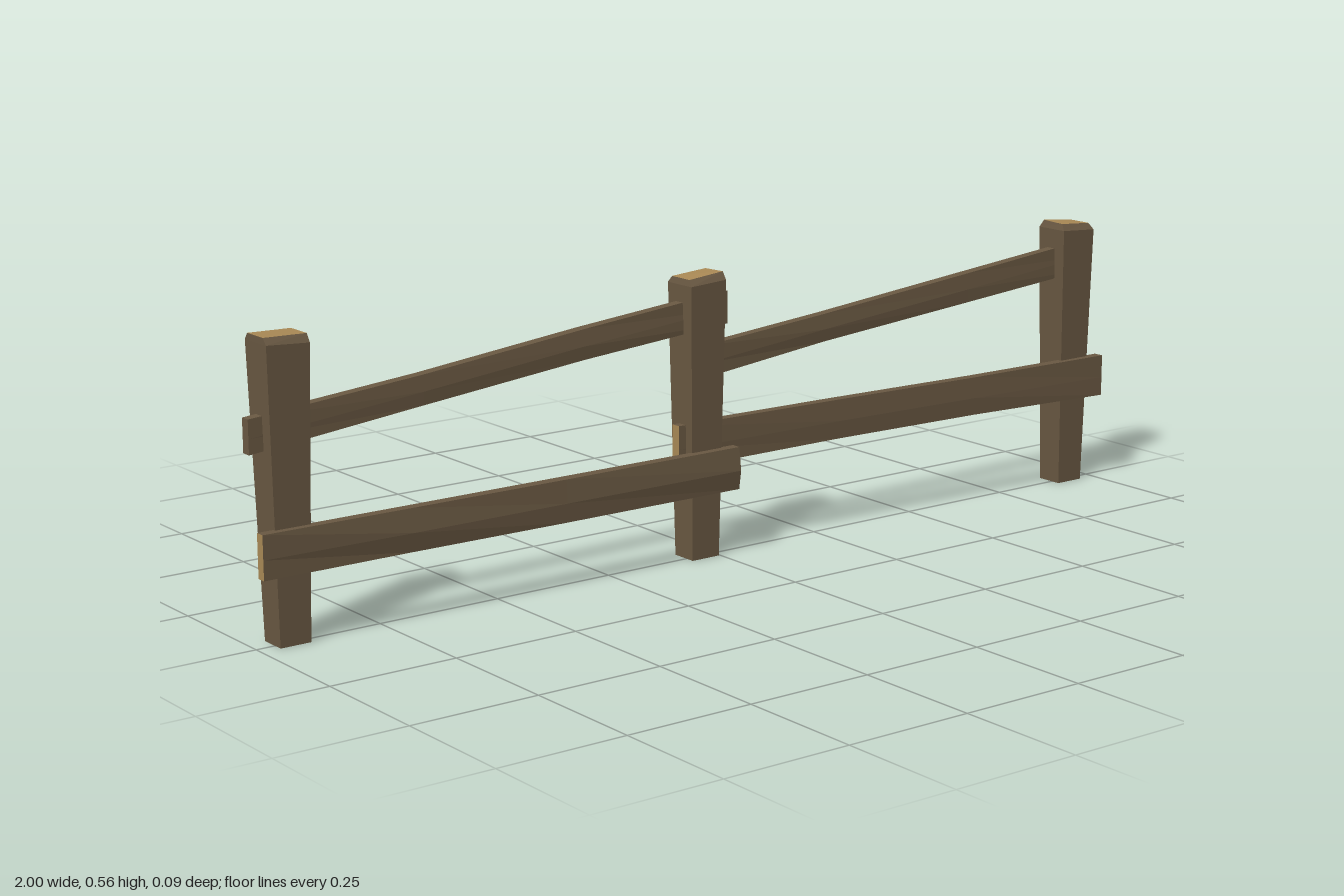
import * as THREE from 'three';

const bark = new THREE.MeshStandardMaterial({ color: 0x695842, flatShading: true });
bark.name = 'weathered brown wood';
const cut = new THREE.MeshStandardMaterial({ color: 0xa98955, flatShading: true });
cut.name = 'pale cut wood';

// Skin a row of equal-length rings; group 0 is the sides, group 1 the two ends
function loft(name, rings, endMaterial) {
  const pos = [];
  const n = rings[0].length;
  const tri = (a, b, c) => pos.push(...a, ...b, ...c);
  for (let k = 0; k < rings.length - 1; k++) {
    for (let i = 0; i < n; i++) {
      const j = (i + 1) % n;
      const [a, b, c, d] = [rings[k][i], rings[k][j], rings[k + 1][j], rings[k + 1][i]];
      tri(a, b, c);
      tri(a, c, d);
    }
  }
  const sideCount = pos.length / 3;
  const first = rings[0], last = rings[rings.length - 1];
  for (let i = 1; i < n - 1; i++) {
    tri(first[0], first[i + 1], first[i]);
    tri(last[0], last[i], last[i + 1]);
  }
  const geo = new THREE.BufferGeometry();
  geo.setAttribute('position', new THREE.Float32BufferAttribute(pos, 3));
  geo.computeVertexNormals();
  geo.addGroup(0, sideCount, 0);
  geo.addGroup(sideCount, pos.length / 3 - sideCount, 1);
  const mesh = new THREE.Mesh(geo, [bark, endMaterial]);
  mesh.name = name;
  return mesh;
}

// Post section: left, right, back and front limits, with a height for each corner
const postRing = (x0, x1, z0, z1, y) => [
  [x1, y[0], z1], [x1, y[1], z0], [x0, y[2], z0], [x0, y[3], z1],
];

// Tapered post, wider at the top, with a roughly chamfered head
function post(name, [b0, b1], [t0, t1], shoulder, head, inset) {
  return loft(name, [
    postRing(b0, b1, -0.035, 0.02, [0, 0, 0, 0]),
    postRing(t0, t1, -0.044, 0.029, shoulder),
    postRing(t0 + inset[0], t1 - inset[1], -0.035, 0.019, head),
  ], cut);
}

// Rail section at x: low and high y, back and front z, plus a front ridge
const railRing = ([x, y0, y1, z0, z1, ridge]) => [
  [x, y0, z1], [x, y0, z0], [x, y1, z0], [x, y1, z1], [x, y0 + (y1 - y0) * 0.45, z1 + ridge],
];
const rail = (name, sections, ends) => loft(name, sections.map(railRing), ends);

export function createModel() {
  const fence = new THREE.Group();
  fence.name = 'fence';

  // Three upright posts
  fence.add(
    post('leftPost', [-0.963, -0.902], [-0.976, -0.891],
      [0.535, 0.535, 0.54, 0.54], [0.55, 0.55, 0.552, 0.552], [0, 0]),
    post('middlePost', [-0.066, -0.003], [-0.075, 0.007],
      [0.54, 0.54, 0.535, 0.535], [0.555, 0.553, 0.547, 0.547], [0.003, 0]),
    post('rightPost', [0.9, 0.963], [0.888, 0.973],
      [0.535, 0.535, 0.54, 0.54], [0.548, 0.548, 0.555, 0.553], [0.004, 0.006]),
  );

  // Sloping upper rails, passing through the posts
  fence.add(
    rail('leftUpperRail', [
      [-1, 0.347, 0.41, -0.02, 0, 0],
      [-0.65, 0.385, 0.441, -0.021, 0.001, 0.002],
      [-0.3, 0.421, 0.479, -0.023, 0, 0.003],
      [0.031, 0.449, 0.512, -0.018, 0.002, 0],
    ], bark),
    rail('rightUpperRail', [
      [-0.02, 0.35, 0.412, -0.018, 0.002, 0],
      [0.27, 0.382, 0.437, -0.021, 0, 0.003],
      [0.65, 0.415, 0.475, -0.022, 0, 0.002],
      [0.995, 0.446, 0.511, -0.018, 0.002, 0],
    ], bark),
  );

  // Lower rails: the left one on the post faces, the right one angling forward
  fence.add(
    rail('leftLowerRail', [
      [-1, 0.132, 0.214, 0.018, 0.037, 0],
      [-0.7, 0.132, 0.213, 0.016, 0.037, 0.006],
      [-0.37, 0.131, 0.213, 0.016, 0.039, 0.003],
      [0.031, 0.131, 0.214, 0.02, 0.04, 0.006],
    ], cut),
    rail('rightLowerRail', [
      [-0.086, 0.181, 0.265, -0.016, 0.004, 0],
      [0.3, 0.186, 0.265, -0.005, 0.016, 0.002],
      [0.65, 0.186, 0.264, 0.007, 0.028, 0.002],
      [0.998, 0.181, 0.266, 0.019, 0.04, 0],
    ], cut),
  );
  return fence;
}
